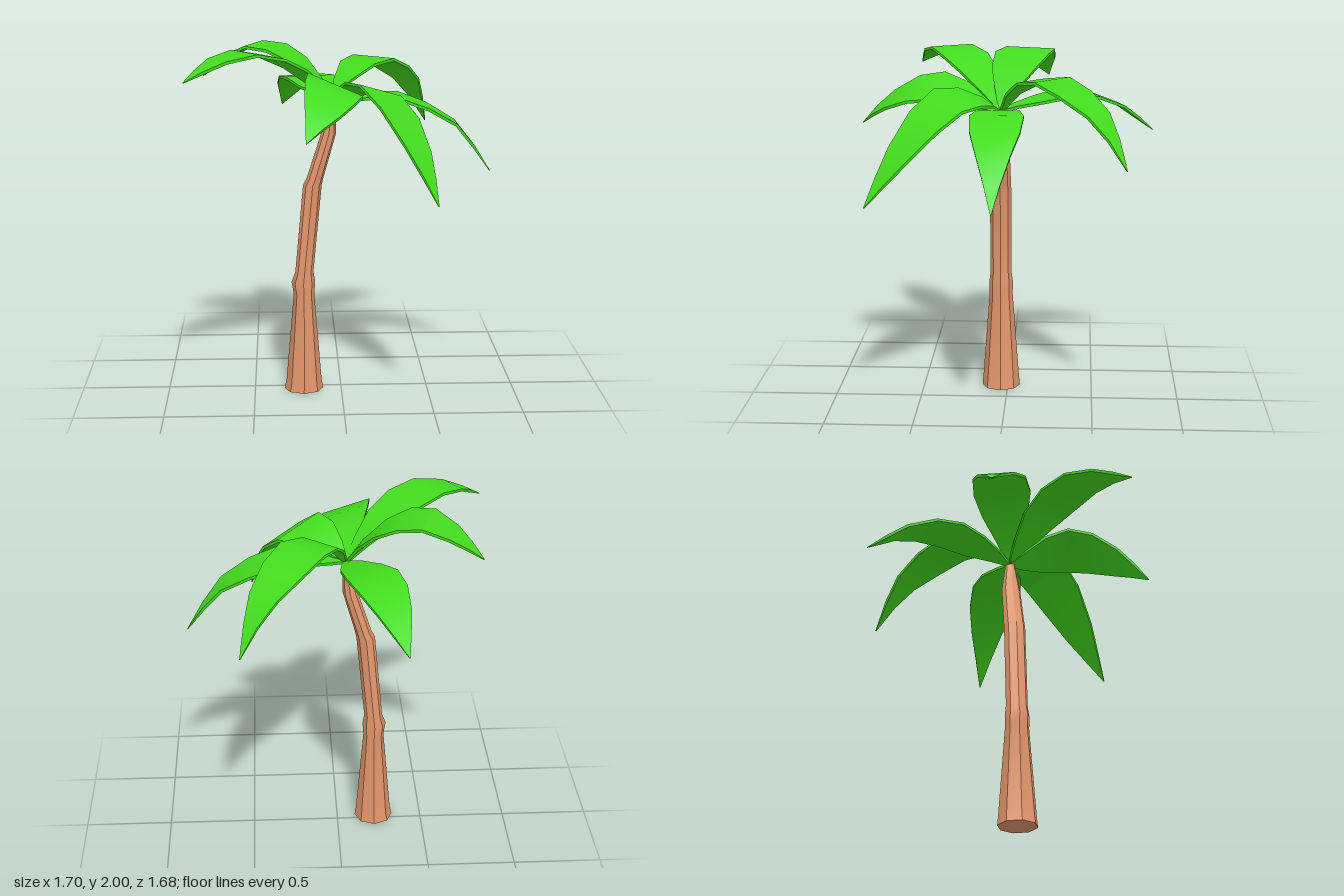
import * as THREE from 'three';
import { toCreasedNormals } from 'three/addons/utils/BufferGeometryUtils.js';

// Skins a list of equal-length closed rings and caps both ends.
function loft(rings) {
  const n = rings[0].length;
  const pos = [], index = [];
  rings.forEach((ring) => ring.forEach((p) => pos.push(...p)));
  for (let i = 0; i < rings.length - 1; i++) {
    for (let j = 0; j < n; j++) {
      const a = i * n + j, b = i * n + (j + 1) % n;
      index.push(a, b, b + n, a, b + n, a + n);
    }
  }
  const last = (rings.length - 1) * n;
  for (let j = 1; j < n - 1; j++) {
    index.push(0, j + 1, j, last, last + j, last + j + 1);
  }
  const geo = new THREE.BufferGeometry();
  geo.setAttribute('position', new THREE.Float32BufferAttribute(pos, 3));
  geo.setIndex(index);
  return toCreasedNormals(geo, 0.5);
}

const CROWN = { x: -0.05, z: 0.035 };

// Leaf stations: fraction of the length, and half width there.
const T = [0, 0.1, 0.25, 0.42, 0.6, 0.78, 0.9, 1];
const HALF_WIDTH = [0.01, 0.06, 0.12, 0.148, 0.136, 0.093, 0.045, 0.002];
const THICKNESS = 0.016;

// Tip in plan, spine heights, sideways bow and roll (height per unit of width).
const LEAVES = [
  { tip: [-0.33, -0.84], y: [1.69, 1.72, 1.75, 1.78, 1.765, 1.70, 1.62, 1.54] },
  { tip: [0.54, -0.67], y: [1.69, 1.80, 1.88, 1.90, 1.84, 1.745, 1.62, 1.46] },
  { tip: [0.845, 0.04], y: [1.69, 1.705, 1.725, 1.72, 1.66, 1.565, 1.43, 1.285] },
  { tip: [0.485, 0.75], y: [1.69, 1.75, 1.79, 1.785, 1.68, 1.51, 1.37, 1.235], bow: 0.04, roll: -0.3 },
  { tip: [-0.21, 0.84], y: [1.69, 1.73, 1.79, 1.83, 1.81, 1.74, 1.67, 1.59], bow: 0.075, roll: -0.4 },
  { tip: [-0.85, 0.555], y: [1.69, 1.78, 1.89, 1.965, 2.0, 1.97, 1.92, 1.865] },
  { tip: [-0.78, -0.225], y: [1.69, 1.80, 1.91, 1.98, 1.995, 1.935, 1.87, 1.80], width: 1.12 },
];

function leafGeometry({ tip, y, bow = 0, roll = 0, width = 1 }) {
  const vx = tip[0] - CROWN.x, vz = tip[1] - CROWN.z;
  const length = Math.hypot(vx, vz);
  const dx = vx / length, dz = vz / length;
  const rings = T.map((t, i) => {
    const lo = Math.max(i - 1, 0), hi = Math.min(i + 1, T.length - 1);
    const slope = Math.atan2(y[hi] - y[lo], (T[hi] - T[lo]) * length);
    const w = HALF_WIDTH[i] * width;
    // Point at a side offset and a depth below the top face
    const at = (side, depth) => {
      const r = t * length + depth * Math.sin(slope);
      const s = side + bow * 4 * t * (1 - t);
      return [
        CROWN.x + dx * r + dz * s,
        y[i] + side * roll - depth * Math.cos(slope),
        CROWN.z + dz * r - dx * s,
      ];
    };
    const depth = i === T.length - 1 ? 0.004 : THICKNESS;
    return [at(w, 0), at(-w, 0), at(-w, depth), at(w, depth)];
  });
  return loft(rings);
}

// Trunk rings: height, centre x, radius in x, radius in z
const TRUNK = [
  [0, -0.218, 0.112, 0.112],
  [0.05, -0.216, 0.102, 0.107],
  [0.57, -0.214, 0.059, 0.068],
  [0.64, -0.217, 0.068, 0.07],
  [0.70, -0.211, 0.052, 0.062],
  [1.21, -0.163, 0.053, 0.062],
  [1.25, -0.148, 0.047, 0.061],
  [1.50, -0.072, 0.042, 0.055],
  [1.70, -0.045, 0.014, 0.025],
];

function trunkGeometry() {
  const sides = 8;
  return loft(TRUNK.map(([y, cx, rx, rz]) =>
    Array.from({ length: sides }, (_, j) => {
      const a = (j / sides) * Math.PI * 2;
      return [cx + Math.sin(a) * rx, y, 0.04 + Math.cos(a) * rz];
    })));
}

export function createModel() {
  const model = new THREE.Group();
  model.name = 'palmTree';

  const bark = new THREE.MeshStandardMaterial({ color: 0xe3966b });
  const green = new THREE.MeshStandardMaterial({ color: 0x43db1e });

  // Leaning faceted trunk
  const trunk = new THREE.Mesh(trunkGeometry(), bark);
  trunk.name = 'trunk';
  model.add(trunk);

  // Crown of arched leaves
  const crown = new THREE.Group();
  crown.name = 'crown';
  LEAVES.forEach((leaf, i) => {
    const mesh = new THREE.Mesh(leafGeometry(leaf), green);
    mesh.name = `leaf${i + 1}`;
    crown.add(mesh);
  });
  model.add(crown);
  return model;
}
